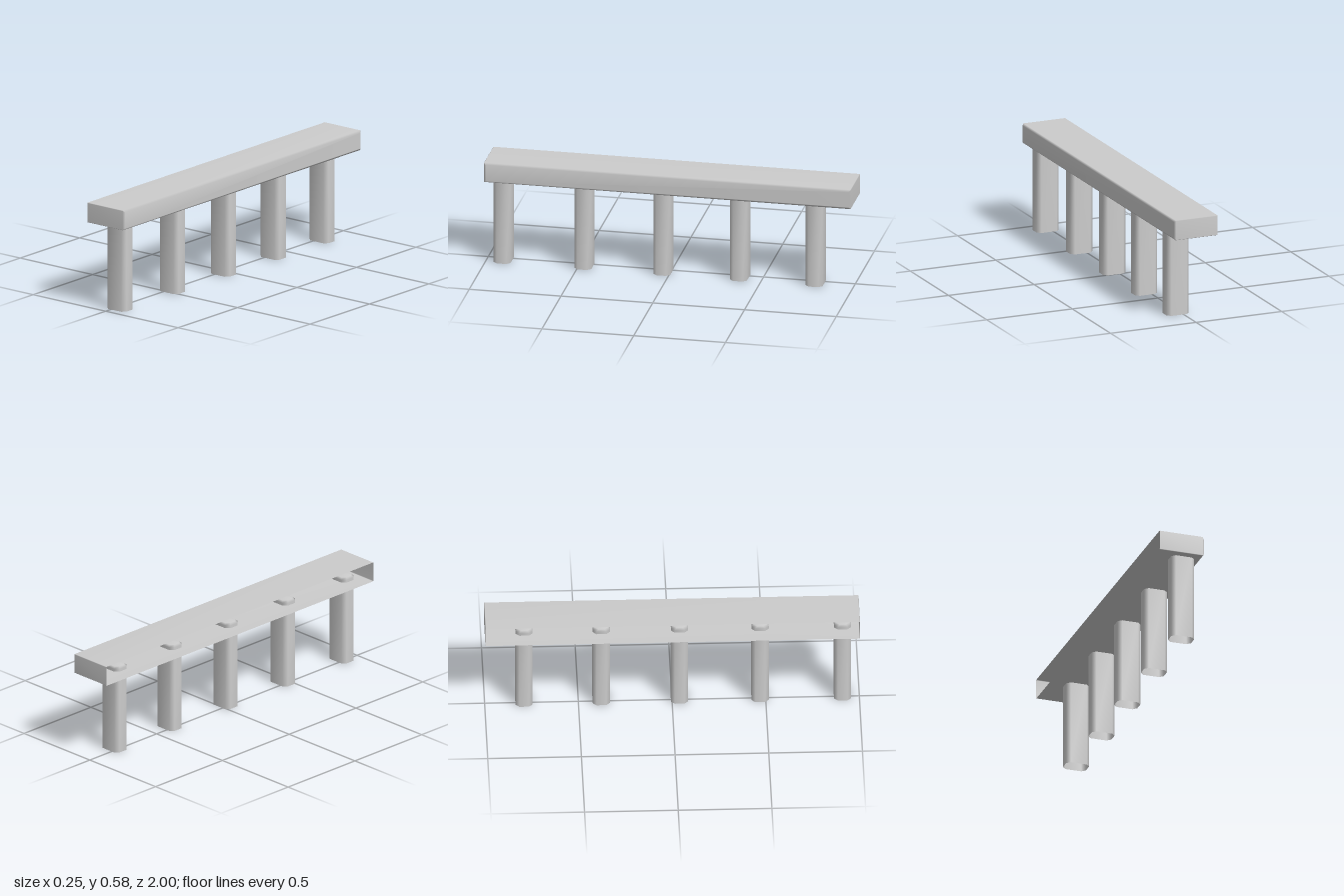
import * as THREE from 'three';

const material = new THREE.MeshStandardMaterial({ color: 0xcccccc, side: THREE.DoubleSide });

// Rectangle (w along x, d along z) with chamfered corners, shrunk by inset
function chamferedLoop(w, d, cut, inset, y) {
  const a = w / 2 - inset, b = d / 2 - inset, c = cut;
  return [
    [a, b - c], [a, c - b], [a - c, -b], [c - a, -b],
    [-a, c - b], [-a, b - c], [c - a, b], [a - c, b],
  ].map(([x, z]) => [x, y, z]);
}

// Shell rising along y: open at the bottom, bevelled and closed at the top
function openShell(w, d, h, cut, bevel) {
  const loops = [
    chamferedLoop(w, d, cut, 0, 0),
    chamferedLoop(w, d, cut, 0, h - bevel),
    chamferedLoop(w, d, cut, bevel, h),
  ];
  const n = 8, index = [];
  for (let r = 0; r < loops.length - 1; r++) {
    for (let i = 0; i < n; i++) {
      const a = r * n + i, b = r * n + (i + 1) % n;
      index.push(a, b, b + n, a, b + n, a + n);
    }
  }
  const top = (loops.length - 1) * n;
  for (let i = 1; i < n - 1; i++) index.push(top, top + i, top + i + 1);
  const g = new THREE.BufferGeometry();
  g.setAttribute('position', new THREE.Float32BufferAttribute(loops.flat(2), 3));
  g.setIndex(index);
  g.computeVertexNormals();
  return g;
}

export function createModel() {
  const group = new THREE.Group();

  // Long hollow beam, open along its -x side
  const beamGeometry = openShell(0.11, 2, 0.252, 0.003, 0.009);
  beamGeometry.rotateZ(-Math.PI / 2);
  const beam = new THREE.Mesh(beamGeometry, material);
  beam.name = 'beam';
  beam.position.set(-0.126, 0.525, 0);
  group.add(beam);

  // Row of posts whose tops poke into the beam
  const postGeometry = openShell(0.13, 0.092, 0.495, 0.02, 0.01);
  [0.91, 0.47, 0.04, -0.378, -0.79].forEach((z, i) => {
    const post = new THREE.Mesh(postGeometry, material);
    post.name = `post${i + 1}`;
    post.position.set(0.026, 0, z);
    group.add(post);
  });

  return group;
}
